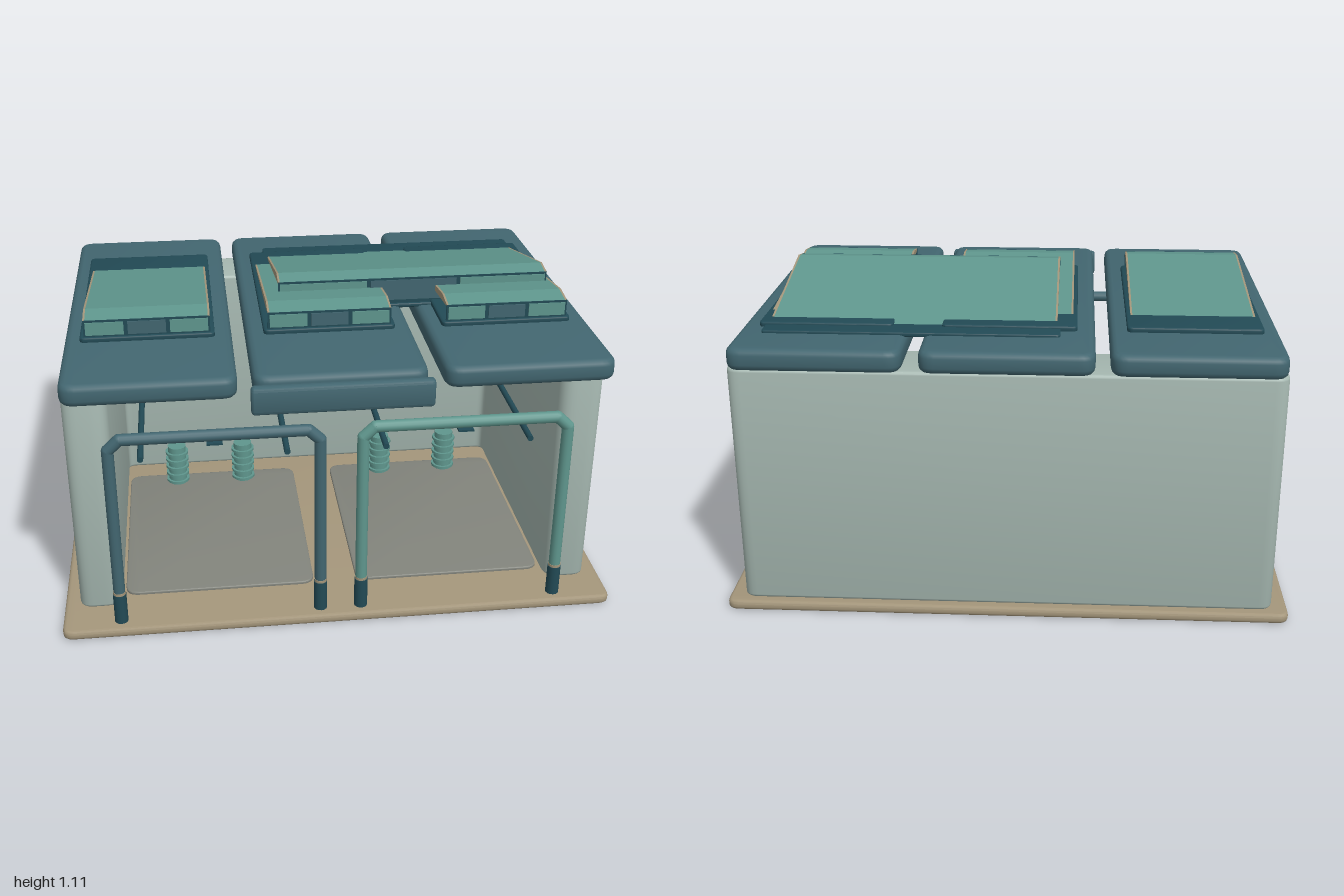
import * as THREE from 'three';
import { toCreasedNormals } from 'three/addons/utils/BufferGeometryUtils.js';

const material = (name, color) => new THREE.MeshStandardMaterial({ name, color });

export function createModel() {
  const model = new THREE.Group();
  model.name = 'shelter';
  const slate = material('slate blue', 0x426670);
  const deep = material('deep teal', 0x224a55);
  const teal = material('soft teal', 0x5f968d);
  const wall = material('pale grey green', 0xa5b7b0);
  const tan = material('tan', 0xa3957a);
  const grey = material('floor grey', 0x81837b);

  function add(name, geo, mat, parent = model) {
    const mesh = new THREE.Mesh(geo, mat);
    mesh.name = name;
    parent.add(mesh);
    return mesh;
  }
  function box(name, mat, x0, x1, y0, y1, z0, z1, parent) {
    const mesh = add(name, new THREE.BoxGeometry(x1 - x0, y1 - y0, z1 - z0), mat, parent);
    mesh.position.set((x0 + x1) / 2, (y0 + y1) / 2, (z0 + z1) / 2);
    return mesh;
  }
  // Plan outline with rounded corners; each point is [x, z, radius]
  function outline(points) {
    const shape = new THREE.Shape();
    const n = points.length;
    points.forEach(([x, z, r], i) => {
      const p = new THREE.Vector2(x, -z);
      const toward = ([a, b]) => new THREE.Vector2(a, -b).sub(p).setLength(r).add(p);
      const a = toward(points[(i + n - 1) % n]);
      const b = toward(points[(i + 1) % n]);
      if (i) shape.lineTo(a.x, a.y); else shape.moveTo(a.x, a.y);
      shape.quadraticCurveTo(p.x, p.y, b.x, b.y);
    });
    shape.closePath();
    return shape;
  }
  // Plan outline raised from y0 to y1 with soft edges
  function raise(name, mat, points, y0, y1, bevel, parent) {
    const geo = new THREE.ExtrudeGeometry(outline(points), {
      depth: y1 - y0 - 2 * bevel, bevelSize: bevel, bevelThickness: bevel,
      bevelOffset: -bevel, bevelSegments: 3, curveSegments: 6,
    });
    geo.rotateX(-Math.PI / 2).translate(0, y0 + bevel, 0);
    return add(name, toCreasedNormals(geo, 0.6), mat, parent);
  }
  const rect = (x0, x1, z0, z1, r) => [[x0, z1, r], [x1, z1, r], [x1, z0, r], [x0, z0, r]];

  // Base plate and the two floor pads
  raise('basePlate', tan, rect(-1, 1, -0.735, 0.715, 0.04), 0, 0.035, 0.012);
  for (const s of [-1, 1]) {
    const c = 0.43 * s;
    raise('floorPad', grey, rect(c - 0.35, c + 0.35, -0.36, 0.51, 0.05), 0.03, 0.046, 0.004);
  }

  // U-shaped wall, open at the front
  raise('walls', wall, [
    [-0.945, 0.57, 0.05], [-0.79, 0.57, 0.06], [-0.79, -0.47, 0.03], [0.79, -0.47, 0.03],
    [0.79, 0.57, 0.06], [0.945, 0.57, 0.05], [0.945, -0.7, 0.05], [-0.945, -0.7, 0.05],
  ], 0.033, 0.907, 0.012);

  // Three roof slabs and the front lip of the middle one
  for (const [x0, x1] of [[-0.935, -0.35], [-0.3, 0.29], [0.345, 0.935]]) {
    raise('roofSlab', slate, rect(x0, x1, -0.732, 0.697, 0.055), 0.91, 0.987, 0.022);
  }
  raise('roofLip', slate, rect(-0.31, 0.305, 0.695, 0.735, 0.015), 0.865, 0.965, 0.014);

  // Roof vent: a bent sheet propped open by a windowed front panel
  function vent(name, x0, x1, front, peak, rear, top) {
    const g = new THREE.Group();
    g.name = name;
    model.add(g);
    const side = new THREE.Shape([
      [front, top - 0.012], [peak, top], [rear, 0.988], [rear, 0.984], [front, top - 0.018],
    ].map(([z, y]) => new THREE.Vector2(-z, y)));
    const strip = (label, mat, a, b) => {
      const geo = new THREE.ExtrudeGeometry(side, { depth: b - a, bevelEnabled: false });
      geo.rotateY(Math.PI / 2).translate(a, 0, 0);
      add(label, geo, mat, g);
    };
    strip('ventSheet', teal, x0 + 0.007, x1 - 0.007);
    strip('ventEdge', tan, x0, x0 + 0.007);
    strip('ventEdge', tan, x1 - 0.007, x1);
    // Front frame with three panes
    box('ventFrame', deep, x0, x1, 0.99, top - 0.012, front - 0.006, front + 0.002, g);
    const w = (x1 - x0) / 3;
    for (let i = 0; i < 3; i++) {
      const a = x0 + i * w;
      box('ventPane', i === 1 ? slate : teal, a + 0.007, a + w - 0.007,
        1.01, top - 0.02, front, front + 0.006, g);
    }
  }
  for (const c of [-0.645, -0.003, 0.637]) {
    raise('ventPlate', deep, rect(c - 0.235, c + 0.235, -0.48, 0.342, 0.02), 0.98, 1.004, 0.006);
    vent('smallVent', c - 0.22, c + 0.22, 0.33, 0.25, -0.46, 1.077);
  }
  raise('wideVentPlate', deep, rect(-0.18, 0.85, -0.55, 0.13, 0.015), 0.98, 0.996, 0.004);
  vent('wideVent', -0.168, 0.84, 0.117, 0.05, -0.49, 1.107);

  // Straight round bar between two points
  function bar(name, mat, a, b, r, parent) {
    const p = new THREE.Vector3(...a), q = new THREE.Vector3(...b);
    const mesh = add(name, new THREE.CylinderGeometry(r, r, p.distanceTo(q), 14), mat, parent);
    mesh.position.copy(p).add(q).multiplyScalar(0.5);
    mesh.quaternion.setFromUnitVectors(new THREE.Vector3(0, 1, 0), q.sub(p).normalize());
  }

  // Front hoops with capped feet and a small latch
  for (const [c, mat] of [[-0.433, slate], [0.43, teal]]) {
    const hoop = new THREE.Group();
    hoop.name = 'frontHoop';
    model.add(hoop);
    const z = 0.672, h = 0.358, r = 0.021;
    const path = [[-h, 0.06], [-h, 0.735], [-h + 0.04, 0.773], [h - 0.04, 0.773], [h, 0.735], [h, 0.06]]
      .map(([x, y]) => [c + x, y, z]);
    path.slice(1).forEach((p, i) => {
      bar('hoopBar', mat, path[i], p, r, hoop);
      if (i < 4) add('hoopJoint', new THREE.SphereGeometry(r, 14, 10), mat, hoop).position.set(...p);
    });
    for (const x of [c - h, c + h]) {
      bar('hoopFoot', deep, [x, 0.045, z], [x, 0.16, z], 0.024, hoop);
      bar('footBand', tan, [x, 0.16, z], [x, 0.17, z], 0.0225, hoop);
    }
    box('hoopLatch', deep, c - 0.027, c + 0.027, 0.732, 0.739, 0.605, 0.67, hoop);
  }

  // Long rods inside, running from the opening to the back wall
  for (const x of [-0.69, -0.18, 0.17, 0.69]) {
    bar('insideRod', deep, [x, 0.638, -0.48], [x, 0.638, 0.572], 0.011);
  }

  // Ribbed posts on the floor
  for (const x of [-0.577, -0.3, 0.287, 0.567]) {
    bar('ribbedPost', teal, [x, 0.065, -0.27], [x, 0.235, -0.27], 0.038);
    for (let i = 0; i < 5; i++) {
      const y = 0.078 + i * 0.032;
      bar('postRib', teal, [x, y - 0.005, -0.27], [x, y + 0.005, -0.27], 0.048);
    }
  }
  return model;
}
